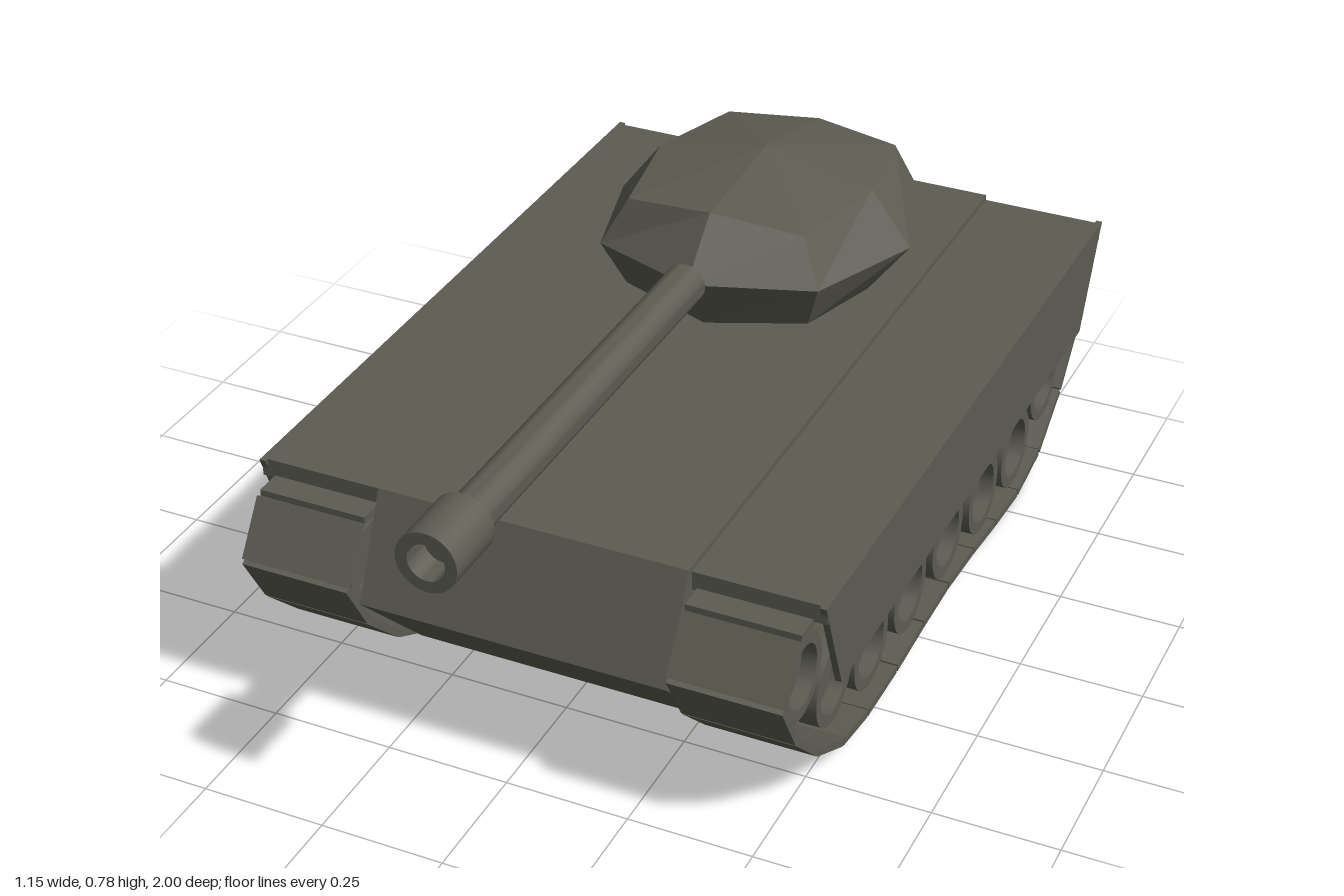
import * as THREE from 'three';
import { toCreasedNormals } from 'three/addons/utils/BufferGeometryUtils.js';

export function createModel() {
  const model = new THREE.Group();
  const olive = new THREE.MeshStandardMaterial({ color: 0x5c5c52 });
  olive.name = 'olive grey paint';

  const add = (name, geometry, parent = model) => {
    const mesh = new THREE.Mesh(geometry, olive);
    mesh.name = name;
    parent.add(mesh);
    return mesh;
  };
  const box = (name, x0, x1, y0, y1, z0, z1, parent) =>
    add(name, new THREE.BoxGeometry(x1 - x0, y1 - y0, z1 - z0)
      .translate((x0 + x1) / 2, (y0 + y1) / 2, (z0 + z1) / 2), parent);
  // side outline of [z, y] points, extruded across x
  const sidePlate = (points, x0, x1) => {
    const shape = new THREE.Shape(points.map(p => new THREE.Vector2(...p)));
    return new THREE.ExtrudeGeometry(shape, { depth: x1 - x0, bevelEnabled: false })
      .rotateY(-Math.PI / 2).translate(x1, 0, 0);
  };
  const lathe = (points, sides) => toCreasedNormals(
    new THREE.LatheGeometry(points.map(p => new THREE.Vector2(...p)), sides), 0.6);

  // Hull with sloped nose and tail
  add('hull', sidePlate([[0.5, 0.08], [0.715, 0.295], [0.625, 0.5],
    [-0.94, 0.5], [-0.965, 0.3], [-0.73, 0.08]], -0.315, 0.315));

  // Running gear, the same on both sides
  const wheelCentres = [[0.62, 0.33], [0.465, 0.212], [0.275, 0.165], [0.067, 0.16],
    [-0.145, 0.155], [-0.36, 0.13], [-0.56, 0.125], [-0.74, 0.192], [-0.875, 0.335]];
  const trackPath = [[0.738, 0.342], [0.67, 0.225], [0.565, 0.125], [0.435, 0.055],
    [0.31, 0.035], [0.155, 0.035], [0.01, 0.044], [-0.13, 0.048], [-0.28, 0.038],
    [-0.42, 0.022], [-0.565, 0.012], [-0.7, 0.038], [-0.825, 0.125], [-0.925, 0.238],
    [-0.99, 0.342], [-0.925, 0.447], [-0.6, 0.447], [-0.28, 0.447], [0.04, 0.447],
    [0.36, 0.447], [0.668, 0.447]];
  const wheelGeometry = lathe([[0, -0.07], [0.064, -0.07], [0.064, -0.1], [0.087, -0.1],
    [0.087, 0.1], [0.064, 0.1], [0.064, 0.07], [0, 0.07]], 32).rotateZ(Math.PI / 2);

  for (const side of [1, -1]) {
    const gear = new THREE.Group();
    gear.name = side > 0 ? 'leftRunningGear' : 'rightRunningGear';
    model.add(gear);
    const span = (a, b) => side > 0 ? [a, b] : [-b, -a];

    box('fender', ...span(0.315, 0.575), 0.45, 0.488, -0.94, 0.61, gear);
    add('sideSkirt', sidePlate([[0.53, 0.27], [0.618, 0.488], [-0.95, 0.488],
      [-0.845, 0.27]], ...span(0.563, 0.576)), gear);

    wheelCentres.forEach(([z, y]) => {
      add('roadWheel', wheelGeometry, gear).position.set(side * 0.437, y, z);
    });
    trackPath.forEach(([z, y], i) => {
      const [z2, y2] = trackPath[(i + 1) % trackPath.length];
      const length = Math.hypot(z2 - z, y2 - y) * 0.97;
      const plate = add('trackPlate', new THREE.BoxGeometry(0.224, 0.016, length), gear);
      plate.position.set(side * 0.437, (y + y2) / 2, (z + z2) / 2);
      plate.rotation.x = -Math.atan2(y2 - y, z2 - z);
    });
  }

  // Faceted turret: three half rings (front to back), mirrored
  const rings = [
    [[0, 0.525, -0.14], [0.2, 0.54, -0.2], [0.235, 0.505, -0.44], [0.18, 0.5, -0.68], [0, 0.505, -0.75]],
    [[0, 0.655, -0.055], [0.237, 0.645, -0.155], [0.322, 0.62, -0.44], [0.237, 0.595, -0.725], [0, 0.58, -0.832]],
    [[0, 0.762, -0.165], [0.19, 0.74, -0.19], [0.235, 0.735, -0.44], [0.19, 0.71, -0.69], [0, 0.713, -0.735]],
  ].map(half => [...half, ...half.slice(1, 4).reverse().map(([x, y, z]) => [-x, y, z])]);
  const roof = [0, 0.78, -0.45], base = [0, 0.5, -0.45];
  const corners = [];
  for (let i = 0; i < 8; i++) {
    const j = (i + 1) % 8;
    for (let r = 0; r < 2; r++) {
      const a = rings[r][i], b = rings[r][j], c = rings[r + 1][j], d = rings[r + 1][i];
      corners.push(a, b, c, a, c, d);
    }
    corners.push(rings[2][i], rings[2][j], roof, rings[0][j], rings[0][i], base);
  }
  const turret = new THREE.BufferGeometry();
  turret.setAttribute('position', new THREE.Float32BufferAttribute(corners.flat(), 3));
  turret.computeVertexNormals();
  add('turret', turret);

  // Gun: barrel and wider hollow muzzle, pointing forward
  const gun = new THREE.Group();
  gun.name = 'gun';
  gun.position.y = 0.662;
  model.add(gun);
  add('barrel', lathe([[0, -0.12], [0, -0.05], [0.042, -0.05], [0.042, 0.88]].slice(1), 32)
    .rotateX(Math.PI / 2), gun);
  add('muzzle', lathe([[0, 0.865], [0.06, 0.865], [0.06, 1], [0.037, 1], [0.037, 0.94],
    [0, 0.94]], 32).rotateX(Math.PI / 2), gun);

  return model;
}
